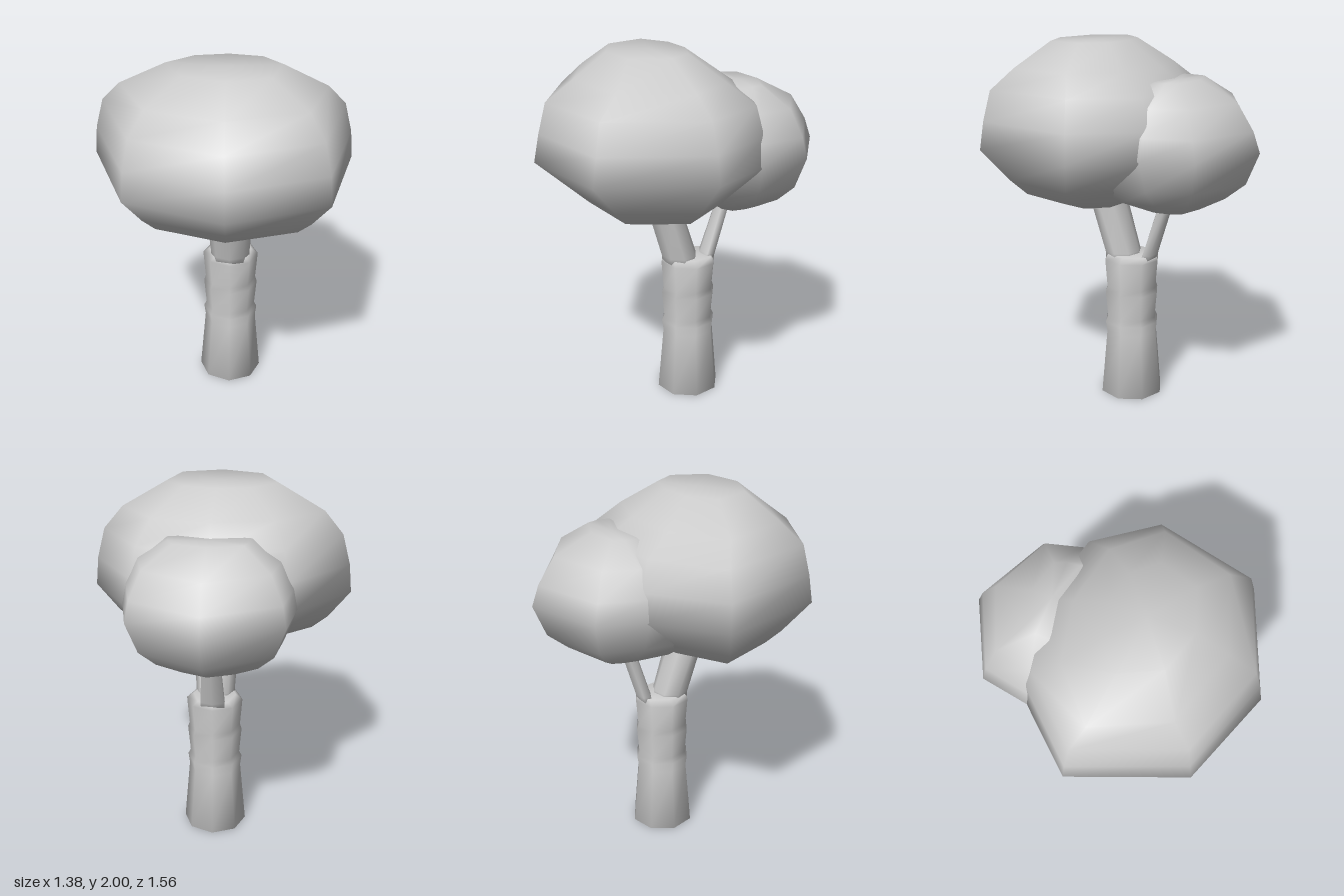
import * as THREE from 'three';

const material = new THREE.MeshStandardMaterial({ color: 0xcccccc });

// Skins a stack of loops (bottom to top, each running from +z towards +x) and closes both ends.
function loft(name, rings) {
  const n = rings[0].length;
  const pos = rings.flat(2);
  const index = [];
  for (let i = 0; i < rings.length - 1; i++) {
    for (let j = 0; j < n; j++) {
      const a = i * n + j, b = i * n + (j + 1) % n;
      index.push(a, b, b + n, a, b + n, a + n);
    }
  }
  const last = (rings.length - 1) * n, base = rings.length * n;
  for (const ring of [rings[0], rings[rings.length - 1]]) {
    for (let k = 0; k < 3; k++) pos.push(ring.reduce((s, p) => s + p[k], 0) / n);
  }
  for (let j = 0; j < n; j++) {
    const k = (j + 1) % n;
    index.push(base, k, j, base + 1, last + j, last + k);
  }
  const geometry = new THREE.BufferGeometry();
  geometry.setAttribute('position', new THREE.Float32BufferAttribute(pos, 3));
  geometry.setIndex(index);
  geometry.computeVertexNormals();
  const mesh = new THREE.Mesh(geometry, material);
  mesh.name = name;
  return mesh;
}

// Horizontal elliptical loop
function ellipse(x, y, z, rx, rz, sides = 8) {
  return Array.from({ length: sides }, (_, i) => {
    const a = (i / sides) * Math.PI * 2;
    return [x + Math.sin(a) * rx, y, z + Math.cos(a) * rz];
  });
}

// Foliage lobe: one plan outline scaled about a centre at each [height, x scale, z scale]
function lobe(name, outline, cx, cz, levels) {
  return loft(name, levels.map(([y, sx, sz]) =>
    outline.map(([x, z]) => [cx + (x - cx) * sx, y, cz + (z - cz) * sz])));
}

export function createModel() {
  const tree = new THREE.Group();
  tree.name = 'tree';

  // Trunk with ringed ridges, pinched in at the fork
  const profile = [[0.18, 0], [0.148, 0.37], [0.156, 0.43], [0.142, 0.46],
    [0.155, 0.61], [0.145, 0.64], [0.158, 0.8]];
  tree.add(loft('trunk', [
    ...profile.map(([r, y]) => ellipse(0.04, y, -0.06, r, r)),
    ellipse(0.04, 0.83, -0.06, 0.12, 0.15)]));

  // Forked branches
  tree.add(loft('frontBranch', [
    ellipse(0.04, 0.78, -0.01, 0.11, 0.1),
    ellipse(0.04, 0.84, -0.005, 0.11, 0.1),
    ellipse(0.04, 1.14, 0.085, 0.13, 0.095),
    ellipse(0.04, 1.3, 0.13, 0.13, 0.095)]));
  tree.add(loft('backBranch', [
    ellipse(0.04, 0.78, -0.155, 0.08, 0.045, 6),
    ellipse(0.04, 0.84, -0.175, 0.075, 0.042, 6),
    ellipse(0.04, 1.15, -0.27, 0.055, 0.04, 6),
    ellipse(0.04, 1.3, -0.315, 0.055, 0.04, 6)]));

  // Large front lobe of the crown
  tree.add(lobe('frontFoliage',
    [[0.04, 0.78], [0.55, 0.58], [0.69, -0.01], [0.45, -0.36],
      [0.04, -0.46], [-0.37, -0.36], [-0.69, -0.01], [-0.47, 0.58]],
    0.02, 0.18,
    [[1.115, 0.36, 0.32], [1.2, 0.72, 0.53], [1.28, 0.84, 0.68],
      [1.45, 1, 1], [1.6, 0.98, 0.95], [1.76, 0.92, 0.88],
      [1.87, 0.78, 0.63], [2, 0.43, 0.34]]));

  // Smaller, lower back lobe
  tree.add(lobe('backFoliage',
    [[0.04, 0.12], [0.5, 0], [0.49, -0.31], [0.43, -0.58],
      [0.04, -0.78], [-0.36, -0.58], [-0.41, -0.31], [-0.42, 0]],
    0.04, -0.35,
    [[1.125, 0.35, 0.25], [1.2, 0.66, 0.58], [1.29, 0.86, 0.84], [1.46, 1, 1],
      [1.57, 0.95, 0.91], [1.71, 0.8, 0.7], [1.815, 0.45, 0.22]]));

  return tree;
}
